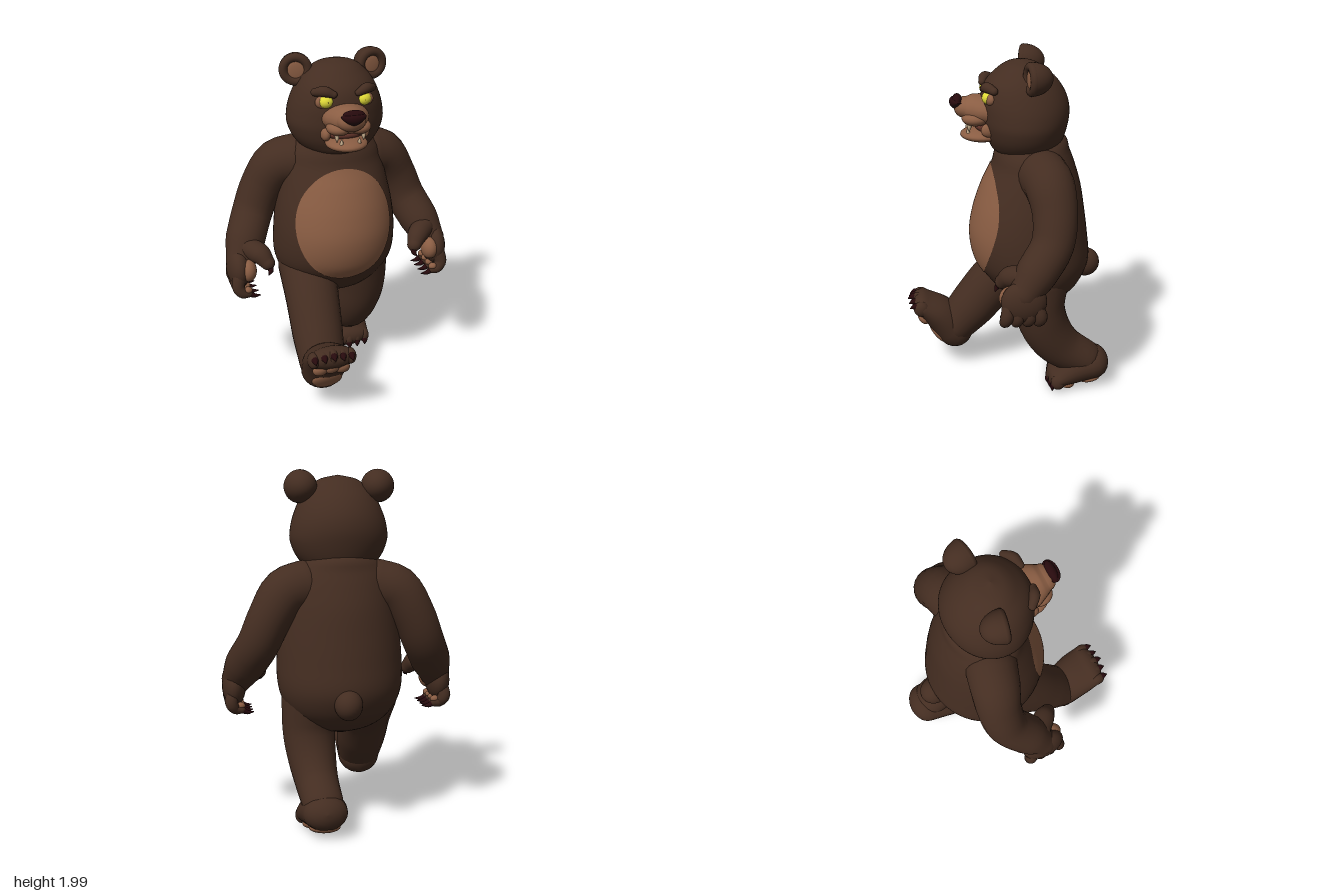
import * as THREE from 'three';

const mat = (name, color, side = THREE.FrontSide) => {
  const m = new THREE.MeshStandardMaterial({ color, side });
  m.name = name;
  return m;
};

// Skin a list of closed rings (each an array of Vector3)
function skin(rings) {
  const n = rings[0].length, pos = [], idx = [];
  rings.forEach(r => r.forEach(p => pos.push(p.x, p.y, p.z)));
  for (let i = 0; i < rings.length - 1; i++) for (let j = 0; j < n; j++) {
    const k = (j + 1) % n, a = i * n, b = a + n;
    idx.push(a + j, b + j, a + k, a + k, b + j, b + k);
  }
  const g = new THREE.BufferGeometry();
  g.setAttribute('position', new THREE.Float32BufferAttribute(pos, 3));
  g.setIndex(idx);
  g.computeVertexNormals();
  return g;
}

// Smooth profile lookup: rows of [y, half width, front z, back z]
const profile = rows => y => {
  let i = 0;
  while (i < rows.length - 2 && y > rows[i + 1][0]) i++;
  const A = rows[i], B = rows[i + 1], P = rows[Math.max(i - 1, 0)], Q = rows[Math.min(i + 2, rows.length - 1)];
  const h = B[0] - A[0], t = (y - A[0]) / h;
  const v = [1, 2, 3].map(k => {
    const m0 = (B[k] - P[k]) / (B[0] - P[0]) * h, m1 = (Q[k] - A[k]) / (Q[0] - A[0]) * h;
    return A[k] * (1 + 2 * t) * (1 - t) ** 2 + m0 * t * (1 - t) ** 2 + B[k] * t * t * (3 - 2 * t) + m1 * t * t * (t - 1);
  });
  return { rx: Math.max(v[0], 0.001), cz: (v[1] + v[2]) / 2, rz: Math.max((v[1] - v[2]) / 2, 0.001) };
};

function upright(rows, steps = 56, n = 48) {
  const at = profile(rows), y0 = rows[0][0], y1 = rows[rows.length - 1][0], rings = [];
  for (let i = 0; i <= steps; i++) {
    const y = y0 + (y1 - y0) * (1 - Math.cos(Math.PI * i / steps)) / 2, s = at(y);
    rings.push(Array.from({ length: n }, (_, j) => {
      const a = j / n * Math.PI * 2;
      return new THREE.Vector3(s.rx * Math.cos(a), y, s.cz + s.rz * Math.sin(a));
    }));
  }
  return skin(rings);
}

// Round-ended limb through points [x, y, z, radiusA, radiusB]; radiusA lies along ref
function limb(pts, ref = new THREE.Vector3(1, 0, 0), steps = 20, n = 24) {
  const path = new THREE.CatmullRomCurve3(pts.map(p => new THREE.Vector3(p[0], p[1], p[2])));
  const size = new THREE.CatmullRomCurve3(pts.map(p => new THREE.Vector3(p[3], p[4] ?? p[3], 0)));
  const rings = [], cap = 5;
  const add = (u, phi) => {
    const T = path.getTangent(u), r = size.getPoint(u), c = path.getPoint(u);
    const S = ref.clone().addScaledVector(T, -ref.dot(T)).normalize();
    const N = S.clone().cross(T), k = Math.max(Math.cos(phi), 0.002);
    c.addScaledVector(T, r.y * Math.sin(phi));
    rings.push(Array.from({ length: n }, (_, j) => {
      const a = j / n * Math.PI * 2;
      return c.clone().addScaledVector(S, r.x * k * Math.cos(a)).addScaledVector(N, r.y * k * Math.sin(a));
    }));
  };
  for (let i = cap; i > 0; i--) add(0, -i / cap * Math.PI / 2);
  for (let i = 0; i <= steps; i++) add(i / steps, 0);
  for (let i = 1; i <= cap; i++) add(1, i / cap * Math.PI / 2);
  return skin(rings);
}

export function createModel() {
  const root = new THREE.Group();
  root.name = 'bear';
  const fur = mat('brown fur', 0x442d21), tan = mat('tan skin', 0x8a5d43, THREE.DoubleSide);
  const dark = mat('dark claw', 0x270a0d), yellow = mat('yellow eye', 0xe0da38);
  const ivory = mat('ivory tooth', 0xc9b08f), red = mat('mouth red', 0x5e3228);
  const Z = new THREE.Vector3(0, 0, 1);

  const mesh = (name, geo, m, parent = root) => {
    const o = new THREE.Mesh(geo, m);
    o.name = name;
    parent.add(o);
    return o;
  };
  const ball = (name, m, p, r, parent = root) => {
    const o = mesh(name, new THREE.SphereGeometry(1, 24, 16), m, parent);
    o.position.set(...p);
    o.scale.set(...r);
    return o;
  };
  const spike = (name, m, pts, parent = root) => mesh(name, limb(pts, new THREE.Vector3(0.6, 0, 0.8), 6, 10), m, parent);

  // Torso
  const torso = [[0.52, 0.03, -0.13, -0.19], [0.56, 0.17, -0.02, -0.3], [0.62, 0.26, 0.06, -0.38],
    [0.7, 0.32, 0.13, -0.435], [0.8, 0.352, 0.195, -0.467], [0.95, 0.355, 0.222, -0.455], [1.1, 0.34, 0.2, -0.435],
    [1.25, 0.31, 0.15, -0.41], [1.37, 0.28, 0.095, -0.375], [1.45, 0.25, 0.075, -0.345], [1.53, 0.17, 0.03, -0.31], [1.58, 0.03, -0.1, -0.18]];
  mesh('torso', upright(torso), fur);
  ball('tail', fur, [0, 0.74, -0.452], [0.078, 0.085, 0.085]);

  // Belly patch follows the torso surface
  const at = profile(torso), patch = [];
  for (let i = 0; i <= 16; i++) patch.push(Array.from({ length: 48 }, (_, j) => {
    const a = j / 48 * Math.PI * 2, k = Math.max(1 - i / 16, 0.002);
    const x = 0.28 * k * Math.cos(a), y = 1.04 + 0.33 * k * Math.sin(a), s = at(y);
    return new THREE.Vector3(x, y, s.cz + (s.rz + 0.005) * Math.sqrt(1 - (x / (s.rx + 0.005)) ** 2));
  }));
  patch.reverse().forEach(r => r.reverse());
  mesh('bellyPatch', skin(patch), tan);

  // Head
  mesh('head', upright([[1.42, 0.03, -0.07, -0.14], [1.445, 0.15, 0.06, -0.27], [1.5, 0.225, 0.11, -0.3],
    [1.6, 0.272, 0.145, -0.33], [1.68, 0.27, 0.155, -0.34], [1.76, 0.248, 0.155, -0.325], [1.84, 0.21, 0.13, -0.28],
    [1.9, 0.16, 0.075, -0.22], [1.945, 0.095, 0.01, -0.15], [1.965, 0, -0.065, -0.065]]), fur);

  // Muzzle, nose and open mouth
  mesh('muzzle', limb([[0, 1.68, 0.08, 0.14, 0.085], [0, 1.69, 0.16, 0.125, 0.08], [0, 1.695, 0.215, 0.098, 0.074],
    [0, 1.7, 0.245, 0.08, 0.058]]), tan);
  mesh('nose', limb([[0, 1.695, 0.275, 0.026, 0.024], [0, 1.715, 0.28, 0.048, 0.038], [0, 1.738, 0.286, 0.07, 0.042],
    [0, 1.748, 0.284, 0.062, 0.026]]), dark);
  ball('mouth', red, [0, 1.595, 0.09], [0.115, 0.04, 0.1]);
  ball('jaw', tan, [0, 1.545, 0.145], [0.118, 0.038, 0.125]);
  for (const s of [-1, 1]) {
    ball('lip', tan, [s * 0.055, 1.65, 0.185], [0.07, 0.042, 0.078]);
    ball('mouthCorner', tan, [s * 0.11, 1.595, 0.115], [0.028, 0.04, 0.045]);
    spike('upperFang', ivory, [[s * 0.075, 1.625, 0.215, 0.014], [s * 0.075, 1.6, 0.222, 0.01], [s * 0.075, 1.58, 0.222, 0.002]]);
    spike('lowerFang', ivory, [[s * 0.05, 1.565, 0.225, 0.011], [s * 0.05, 1.58, 0.228, 0.008], [s * 0.05, 1.595, 0.228, 0.002]]);

    // Eyes and brows
    ball('eyelid', tan, [s * 0.115, 1.773, 0.104], [0.05, 0.037, 0.032]);
    ball('eye', yellow, [s * 0.106, 1.778, 0.117], [0.041, 0.036, 0.037]);
    ball('pupil', dark, [s * 0.104, 1.78, 0.152], [0.003, 0.004, 0.003]);
    mesh('brow', limb([[s * 0.07, 1.822, 0.142, 0.02], [s * 0.118, 1.838, 0.125, 0.029], [s * 0.162, 1.828, 0.09, 0.022]], Z), fur);

    // Ears: rounded back, thick rim, tan hollow
    const ear = new THREE.Group();
    ear.name = 'ear';
    ear.position.set(s * 0.218, 1.905, -0.105);
    ear.rotation.y = s * 0.2;
    root.add(ear);
    const back = mesh('earBack', new THREE.SphereGeometry(0.092, 28, 12, 0, Math.PI * 2, 0, Math.PI / 2), fur, ear);
    back.rotation.x = -Math.PI / 2;
    back.scale.y = 1.3;
    mesh('earRim', new THREE.TorusGeometry(0.068, 0.025, 12, 32), fur, ear);
    ball('earHollow', tan, [-s * 0.004, -0.008, 0.006], [0.052, 0.056, 0.009], ear);

    // Arms
    mesh('arm', limb([[s * 0.2, 1.36, -0.17, 0.145], [s * 0.31, 1.33, -0.2, 0.138], [s * 0.4, 1.2, -0.22, 0.124],
      [s * 0.465, 1.05, -0.2, 0.118], [s * 0.53, 0.92, -0.11, 0.115], [s * 0.575, 0.82, -0.04, 0.088]], Z), fur);
    ball('hand', fur, [s * 0.594, 0.78, -0.035], [0.068, 0.12, 0.125]);
    ball('palmPad', tan, [s * 0.55, 0.785, 0.03], [0.05, 0.068, 0.068]);
    mesh('thumb', limb([[s * 0.53, 0.895, -0.03, 0.065], [s * 0.475, 0.875, 0.03, 0.06], [s * 0.442, 0.835, 0.07, 0.042]], Z), fur);
    spike('thumbClaw', dark, [[s * 0.432, 0.815, 0.085, 0.02], [s * 0.432, 0.795, 0.1, 0.015], [s * 0.445, 0.778, 0.11, 0.003]]);
    for (const z of [-0.125, -0.065, -0.003, 0.058]) {
      mesh('finger', limb([[s * 0.603, 0.75, z * 0.8, 0.04], [s * 0.614, 0.695, z, 0.037], [s * 0.59, 0.66, z + 0.01, 0.031],
        [s * 0.56, 0.655, z + 0.01, 0.024]], Z, 10, 14), fur);
      ball('fingerPad', tan, [s * 0.562, 0.677, z + 0.012], [0.026, 0.02, 0.022]);
      spike('fingerClaw', dark, [[s * 0.55, 0.65, z + 0.01, 0.018], [s * 0.525, 0.638, z + 0.013, 0.013], [s * 0.49, 0.638, z + 0.016, 0.003]]);
    }
  }

  // Legs: right one swings forward, left one pushes off behind
  mesh('rightLeg', limb([[-0.17, 0.72, -0.1, 0.17, 0.17], [-0.18, 0.56, 0.07, 0.155, 0.152],
    [-0.185, 0.4, 0.2, 0.147, 0.142], [-0.19, 0.275, 0.305, 0.13, 0.12]]), fur);
  mesh('leftLeg', limb([[0.165, 0.72, -0.15, 0.17, 0.19], [0.18, 0.53, -0.165, 0.15, 0.15], [0.17, 0.385, -0.215, 0.137, 0.14],
    [0.155, 0.27, -0.3, 0.122, 0.128], [0.14, 0.185, -0.44, 0.115, 0.1]]), fur);

  // Feet: heel at the group's origin, toes toward local +z
  const foot = (name, p, tilt, length, heel) => {
    const f = new THREE.Group();
    f.name = name;
    f.position.set(...p);
    f.rotation.x = -tilt;
    f.scale.z = length;
    root.add(f);
    mesh('footBody', limb([[0, 0, 0, 0.125, heel], [0, -0.005, 0.13, 0.138, 0.1], [0, -0.038, 0.245, 0.14, 0.064]]), fur, f);
    ball('heelPad', tan, [0, -0.085, 0.045], [0.088, 0.03, 0.088], f);
    for (const x of [-0.064, 0, 0.064]) ball('solePad', tan, [x, -0.084, 0.2 - Math.abs(x) * 0.2], [0.044, 0.028, 0.042], f);
    for (let i = -2; i <= 2; i++) {
      const x = i * 0.053, z = 0.272 - Math.abs(i) * 0.01;
      ball('toe', fur, [x, -0.046, z], [0.034, 0.046, 0.046], f);
      spike('toeClaw', dark, [[x, -0.054, z + 0.026, 0.022], [x, -0.068, z + 0.038, 0.018], [x, -0.092, z + 0.044, 0.004]], f);
    }
  };
  foot('rightFoot', [-0.19, 0.24, 0.318], 0.92, 1.05, 0.112);
  foot('leftFoot', [0.135, 0.15, -0.497], -0.15, 0.92, 0.098);
  return root;
}
